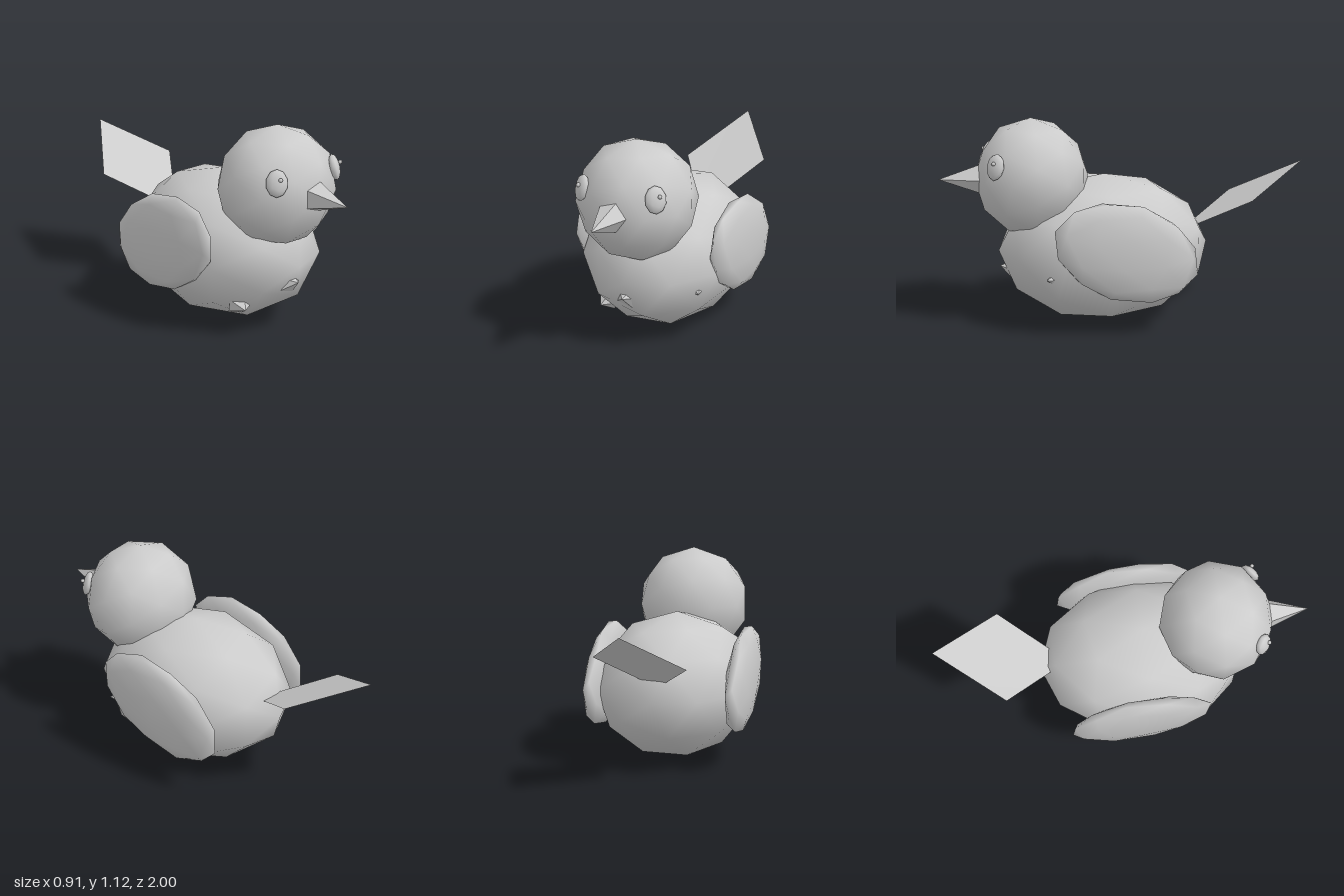
import * as THREE from 'three';

export function createModel() {
  const bird = new THREE.Group();
  bird.name = 'bird';
  const grey = new THREE.MeshStandardMaterial({ color: 0xcccccc, side: THREE.DoubleSide });
  grey.name = 'grey';

  // low-poly ball with one pole on the z axis
  const ball = new THREE.IcosahedronGeometry(1, 1);
  ball.rotateX(Math.atan(2 / (1 + Math.sqrt(5))));
  ball.rotateZ(Math.PI / 2);

  // five-sided spike, base at z = 0 and tip at z = 1
  let spike = new THREE.ConeGeometry(1, 1, 5);
  spike.translate(0, 0.5, 0);
  spike.rotateX(Math.PI / 2);
  spike.rotateZ(Math.PI / 2);
  spike = spike.toNonIndexed();
  spike.computeVertexNormals();

  function add(name, geometry, pos, scale = [1, 1, 1], rot = [0, 0, 0]) {
    const mesh = new THREE.Mesh(geometry, grey);
    mesh.name = name;
    mesh.position.set(...pos);
    mesh.scale.set(...scale);
    mesh.rotation.set(...rot, 'YXZ');
    bird.add(mesh);
    return mesh;
  }

  add('body', ball, [0, 0.404, 0.115], [0.437, 0.402, 0.574]);
  add('head', ball, [0, 0.805, 0.505], [0.317, 0.318, 0.305]);
  add('beak', spike, [0, 0.807, 0.78], [0.082, 0.082, 0.22]);

  // wings and eyes, one on each side
  for (const s of [1, -1]) {
    const side = s > 0 ? 'left' : 'right';
    add(side + 'Wing', ball, [s * 0.388, 0.461, 0.056], [0.07, 0.26, 0.4], [-0.34, 0, 0]);
    add(side + 'Eye', ball, [s * 0.203, 0.904, 0.713], [0.055, 0.07, 0.028], [-0.25, s * 0.72, 0]);
    add(side + 'Pupil', ball, [s > 0 ? 0.232 : -0.206, 0.928, s > 0 ? 0.725 : 0.742], [0.011, 0.011, 0.011]);
  }

  // tail: a flat diamond sloping up and back, slightly rolled
  const tail = new THREE.BufferGeometry();
  tail.setAttribute('position', new THREE.Float32BufferAttribute([
    0, 0.84, -1, -0.243, 0.632, -0.65, 0, 0.46, -0.3, 0.243, 0.675, -0.65,
  ], 3));
  tail.setIndex([0, 1, 2, 0, 2, 3]);
  tail.computeVertexNormals();
  add('tail', tail, [0, 0, 0]);

  // toe tips just showing through the lower front of the body
  add('middleToe', spike, [-0.005, 0.3, 0.6], [0.085, 0.065, 0.085], [-0.2, 0, 0]);
  add('rightToe', spike, [-0.2, 0.18, 0.45], [0.075, 0.06, 0.07], [0.2, -0.3, 0]);
  add('leftToe', spike, [0.3, 0.317, 0.43], [0.03, 0.03, 0.05], [0, 0.6, 0]);

  return bird;
}
